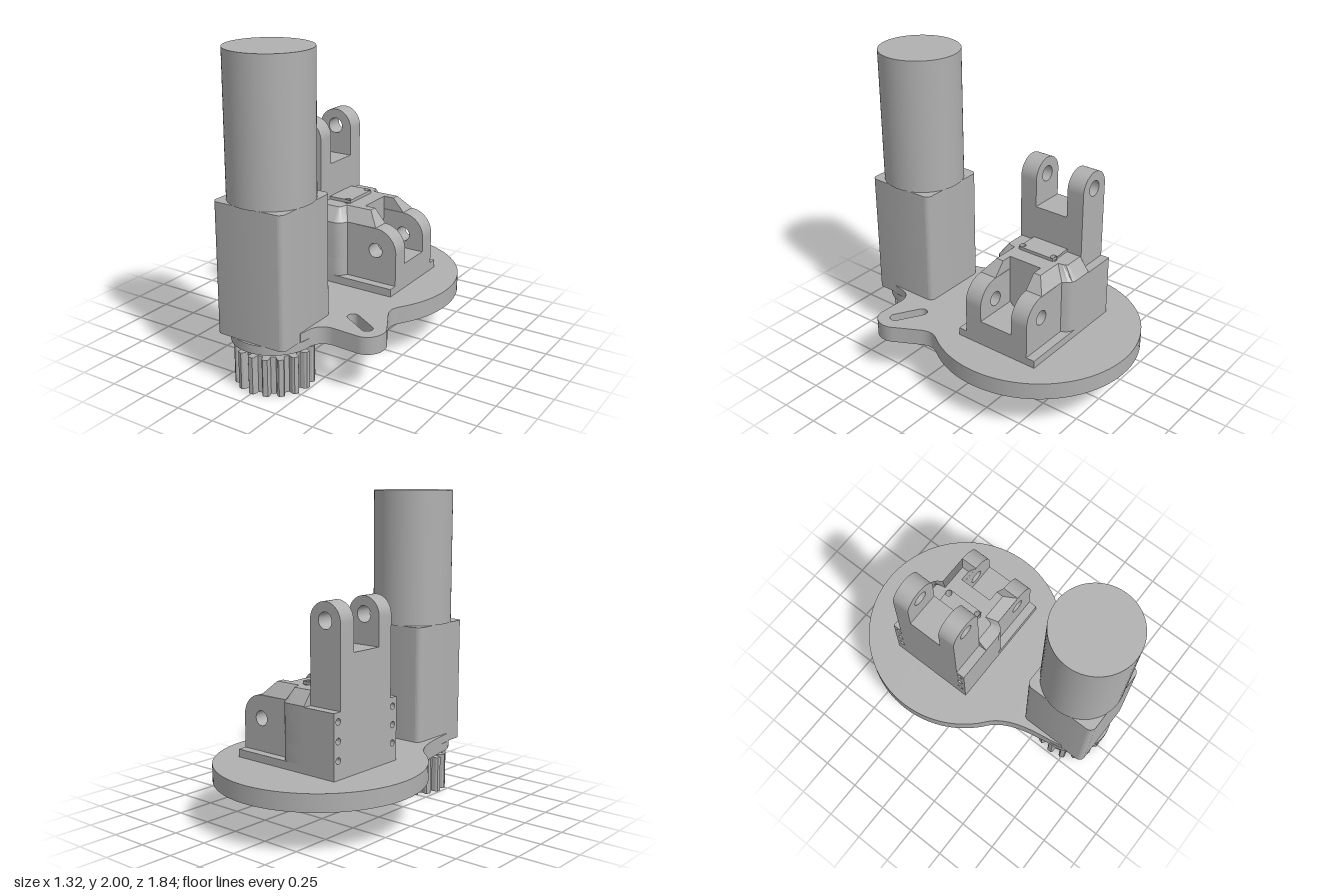
import * as THREE from 'three';
import { toCreasedNormals } from 'three/addons/utils/BufferGeometryUtils.js';

export function createModel() {
  const grey = new THREE.MeshStandardMaterial({ color: 0xb0b0b0 });
  grey.name = 'machined grey';
  const model = new THREE.Group();
  model.name = 'motorMount';

  const add = (parent, name, geometry, x = 0, y = 0, z = 0) => {
    const mesh = new THREE.Mesh(geometry, grey);
    mesh.name = name;
    mesh.position.set(x, y, z);
    parent.add(mesh);
    return mesh;
  };
  const circle = (x, y, r) => new THREE.Path().absarc(x, y, r, 0, Math.PI * 2);
  const poly = (pts) => new THREE.Shape(pts.map(([x, y]) => new THREE.Vector2(x, y)));
  const withHoles = (shape, ...holes) => { shape.holes.push(...holes); return shape; };
  const extrude = (shape, depth) =>
    new THREE.ExtrudeGeometry(shape, { depth, bevelEnabled: false, curveSegments: 32 });
  // Horizontal slab from a shape drawn in (x, z)
  const slab = (shape, y0, y1) =>
    toCreasedNormals(extrude(shape, y1 - y0).rotateX(Math.PI / 2).translate(0, y1, 0), 0.5);
  // Upright slab from a shape drawn in (x, y)
  const upright = (shape, z0, z1) =>
    toCreasedNormals(extrude(shape, z1 - z0).translate(0, 0, z0), 0.5);
  const box = (x0, x1, y0, y1, z0, z1) =>
    new THREE.BoxGeometry(x1 - x0, y1 - y0, z1 - z0)
      .translate((x0 + x1) / 2, (y0 + y1) / 2, (z0 + z1) / 2);

  const hubZ = -0.26, motorZ = 0.66;

  // ---- Base plate: disc, neck under the motor, slotted side lug
  const plateShape = (clipped) => {
    const s = new THREE.Shape();
    s.absarc(0, hubZ, 0.66, Math.atan2(0.5, -0.43), Math.atan2(0.37, 0.55) + Math.PI * 2, false);
    s.bezierCurveTo(0.51, 0.16, 0.51, 0.2, 0.535, 0.25);
    s.lineTo(0.615, 0.4);
    s.bezierCurveTo(0.67, 0.48, 0.62, 0.59, 0.53, 0.587);
    s.lineTo(0.36, 0.58);
    s.bezierCurveTo(0.3, 0.58, 0.265, 0.62, 0.257, motorZ);
    if (clipped) {
      s.lineTo(0.244, 0.74);
      s.lineTo(-0.244, 0.74);
      s.lineTo(-0.257, motorZ);
    } else {
      s.absarc(0, motorZ, 0.257, 0, Math.PI, false);
    }
    s.bezierCurveTo(-0.28, 0.5, -0.31, 0.33, -0.43, 0.24);
    const slot = new THREE.Path();
    const a = Math.atan2(0.09, 0.15);
    slot.absarc(0.525, 0.475, 0.036, a - Math.PI / 2, a + Math.PI / 2, false);
    slot.absarc(0.375, 0.385, 0.036, a + Math.PI / 2, a + Math.PI * 1.5, false);
    return withHoles(s, slot);
  };
  const plate = new THREE.Group();
  plate.name = 'basePlate';
  model.add(plate);
  add(plate, 'plateRim', slab(withHoles(plateShape(false), circle(0, hubZ, 0.59)), 0.275, 0.33));
  add(plate, 'plateStep', slab(withHoles(plateShape(true), circle(0, hubZ, 0.475)), 0.33, 0.345));
  const bolts = [];
  for (let i = 0; i < 8; i++) {
    const a = (i * Math.PI) / 4;
    bolts.push(circle(Math.cos(a) * 0.235, hubZ + Math.sin(a) * 0.235, 0.02));
  }
  add(plate, 'plateTop',
    slab(withHoles(plateShape(true), circle(0, hubZ, 0.17), ...bolts), 0.345, 0.385));

  // ---- Motor, gearbox and pinion
  const motor = new THREE.Group();
  motor.name = 'motor';
  motor.position.z = motorZ;
  model.add(motor);
  add(motor, 'motorCan', new THREE.CylinderGeometry(0.257, 0.257, 0.86, 64), 0, 1.57, 0);
  const h = 0.24, q = h - 0.04;
  const square = new THREE.Shape();
  [[q, q], [-q, q], [-q, -q], [q, -q]].forEach(([x, y], i) =>
    square.absarc(x, y, 0.04, (i * Math.PI) / 2, ((i + 1) * Math.PI) / 2, false));
  add(motor, 'gearbox', slab(square, 0.33, 1.14));
  add(motor, 'gearboxBoss', new THREE.CylinderGeometry(0.113, 0.113, 0.1, 40), 0, 0.285, 0);
  const teeth = 16, gearPts = [];
  for (let i = 0; i < teeth; i++) {
    for (const [t, r] of [[-0.3, 0.198], [-0.24, 0.23], [-0.15, 0.24], [0.15, 0.24], [0.24, 0.23], [0.3, 0.198]]) {
      const a = ((i + t) / teeth) * Math.PI * 2;
      gearPts.push([Math.cos(a) * r, Math.sin(a) * r]);
    }
  }
  add(motor, 'pinion', slab(withHoles(poly(gearPts), circle(0, 0, 0.045)), 0, 0.235));

  // ---- Bracket, symmetric about its own z = 0
  const bracket = new THREE.Group();
  bracket.name = 'bracket';
  bracket.position.z = hubZ;
  model.add(bracket);
  const pins = () => [circle(0, 0.117, 0.02), circle(0, -0.117, 0.02)];
  const crescent = () => new THREE.Path().absarc(0, 0, 0.17, -0.7, 0.7, false);
  // Half outline is mirrored in z to close the loop
  const mirrored = (half) => poly([...half.map(([x, z]) => [x, -z]), ...half.slice().reverse()]);
  const shoulder = [[-0.13, 0.288], [0, 0.288], [0.03, 0.28], [0.052, 0.26], [0.07, 0.23]];

  add(bracket, 'flange',
    slab(withHoles(mirrored([[-0.13, 0.288], [0.42, 0.288]]), crescent(), ...pins()), 0.385, 0.435));
  add(bracket, 'hubFloor',
    slab(withHoles(mirrored([...shoulder, [0.42, 0.23]]), crescent(), ...pins()), 0.435, 0.55));
  add(bracket, 'hubBody',
    slab(withHoles(mirrored([...shoulder, [0.13, 0.23]]), ...pins()), 0.55, 0.79));

  // Chamfered hub cap: the top corners of the slab are drawn inward
  const cap = extrude(withHoles(
    mirrored([...shoulder, [0.275, 0.23], [0.275, 0.115], [0.13, 0.115]]), ...pins()), 0.085)
    .rotateX(Math.PI / 2).translate(0, 0.875, 0);
  const p = cap.attributes.position;
  for (let i = 0; i < p.count; i++) {
    if (p.getY(i) < 0.85) continue;
    const x = p.getX(i), z = p.getZ(i);
    if (x > 0.25) p.setX(i, 0.2);
    if (Math.abs(z) > 0.2) {
      p.setZ(i, z - Math.sign(z) * 0.065);
      if (x > 0.02 && x < 0.1) p.setX(i, x * 0.3);
    }
  }
  add(bracket, 'hubCap', toCreasedNormals(cap, 0.4));
  add(bracket, 'hubPad',
    slab(withHoles(mirrored([[-0.13, 0.127], [0.025, 0.127]]), ...pins()), 0.875, 0.895));

  // Rear block with screw holes in its outer face
  add(bracket, 'rearBlock', box(-0.3, -0.13, 0.385, 0.785, -0.288, 0.288));
  const face = poly([[-0.288, 0.385], [0.288, 0.385], [0.288, 0.785], [-0.288, 0.785]]);
  for (const z of [-0.25, 0.25])
    for (const y of [0.5, 0.615, 0.73]) face.holes.push(circle(z, y, 0.02));
  add(bracket, 'rearFace',
    toCreasedNormals(extrude(face, 0.06).rotateY(-Math.PI / 2).translate(-0.3, 0, 0), 0.5));
  add(bracket, 'rearColumn', box(-0.36, -0.13, 0.785, 1.11, -0.23, 0.23));

  // Paired clevis arms and front lugs
  const arm = new THREE.Shape();
  arm.moveTo(-0.36, 1.11);
  arm.lineTo(-0.13, 1.11);
  arm.absarc(-0.245, 1.29, 0.115, 0, Math.PI, false);
  withHoles(arm, circle(-0.245, 1.295, 0.05));
  const lug = new THREE.Shape();
  lug.moveTo(0.13, 0.55);
  lug.lineTo(0.42, 0.55);
  lug.absarc(0.275, 0.643, 0.145, 0, Math.PI / 2, false);
  lug.lineTo(0.13, 0.788);
  withHoles(lug, circle(0.275, 0.643, 0.047));
  for (const [side, near, far] of [['left', 0.115, 0.23], ['right', -0.23, -0.115]]) {
    add(bracket, side + 'ClevisArm', upright(arm, near, far));
    add(bracket, side + 'FrontLug', upright(lug, near, far));
  }
  return model;
}
